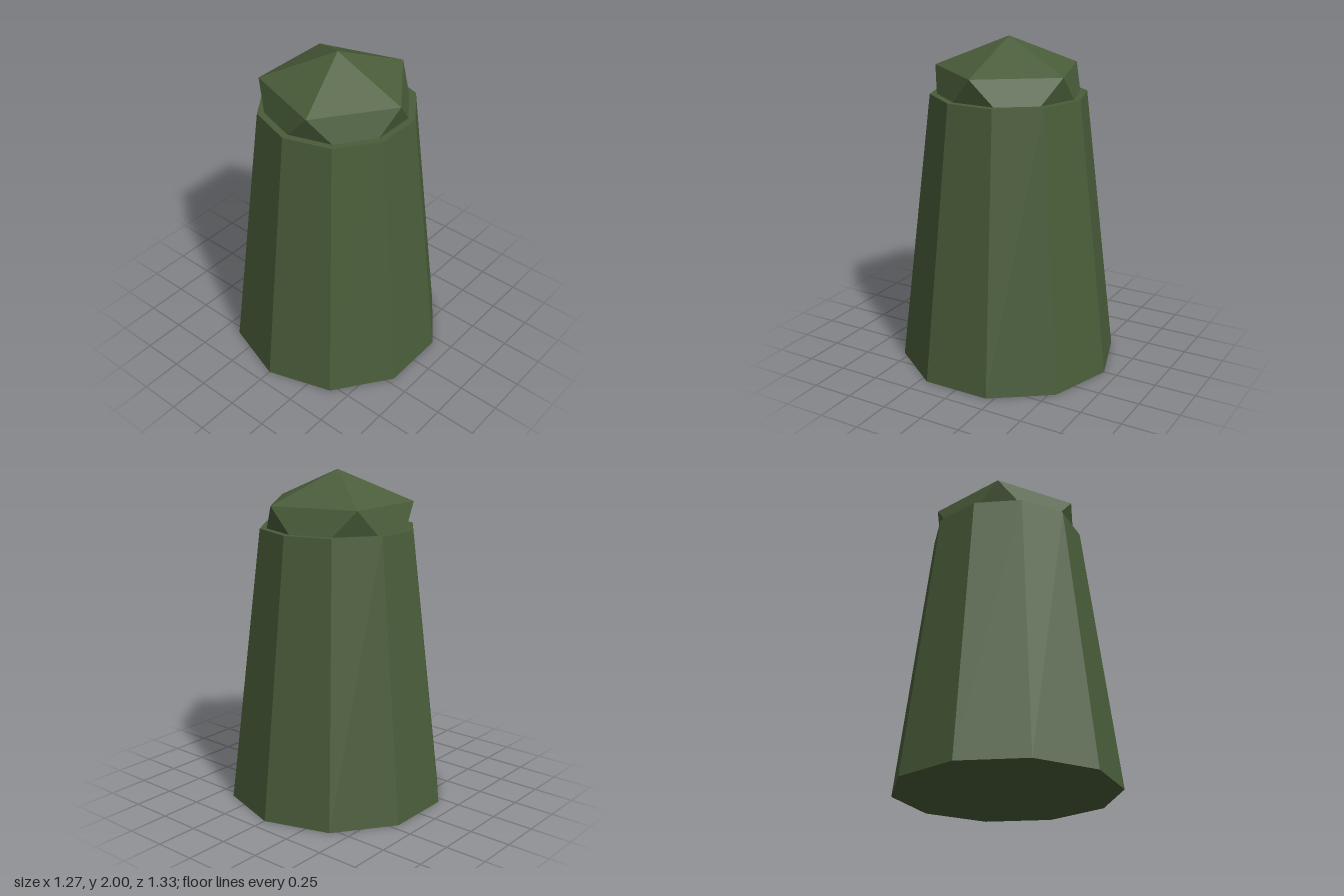
import * as THREE from 'three';
import { ConvexGeometry } from 'three/addons/geometries/ConvexGeometry.js';

export function createModel() {
  const model = new THREE.Group();
  const green = new THREE.MeshStandardMaterial({ color: 0x4a5d3a });
  green.name = 'cactus green';
  green.flatShading = true;

  // Tapered ten-sided trunk with a corner facing the front
  const height = 1.667;
  const trunk = new THREE.Mesh(new THREE.CylinderGeometry(0.467, 0.667, height, 10), green);
  trunk.name = 'trunk';
  trunk.position.y = height / 2;
  model.add(trunk);

  // Flattened icosahedron, half sunk into the trunk: two poles and two staggered rings
  const radius = 0.5, squash = 2 / 3;
  const ringRadius = (2 * radius) / Math.sqrt(5), ringY = radius / Math.sqrt(5);
  const points = [new THREE.Vector3(0, radius, 0), new THREE.Vector3(0, -radius, 0)];
  for (let i = 0; i < 5; i++) {
    const a = (i * Math.PI * 2) / 5;
    const x = Math.cos(a) * ringRadius, z = Math.sin(a) * ringRadius;
    points.push(new THREE.Vector3(x, ringY, z), new THREE.Vector3(-x, -ringY, -z));
  }
  const cap = new THREE.Mesh(new ConvexGeometry(points).scale(1, squash, 1), green);
  cap.name = 'cap';
  cap.position.y = height;
  model.add(cap);

  return model;
}
